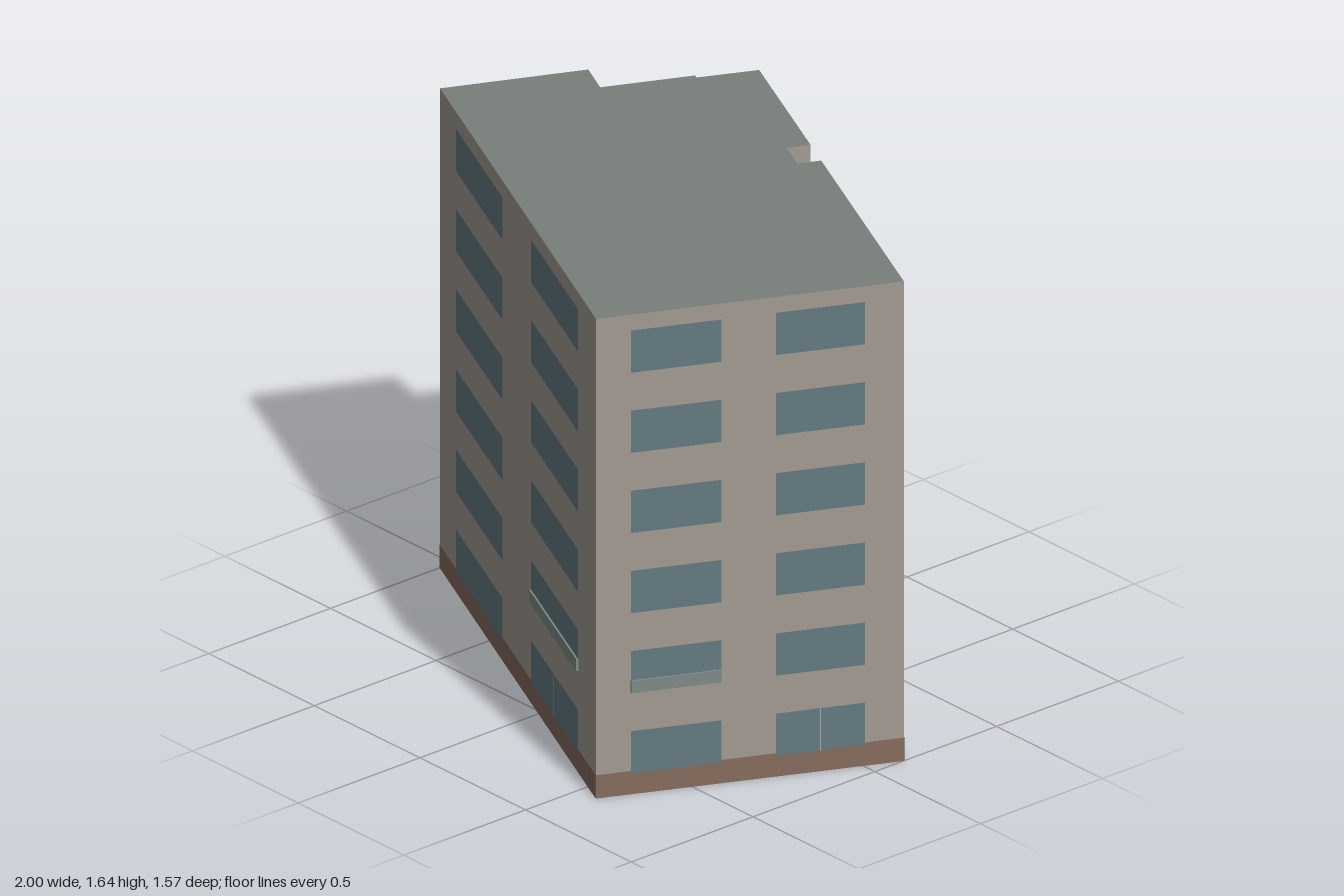
import * as THREE from 'three';

const HEIGHT = 1.645, FLOORS = 6, PITCH = 0.275, BASE = 0.08;
const SILL = 0.072, WINDOW_H = 0.145;

const paint = (color) => new THREE.MeshStandardMaterial({ color, side: THREE.DoubleSide });
const wallMat = paint(0xa39b92);
const roofMat = paint(0x78807c);
const glassMat = paint(0x627a82);
const baseMat = paint(0x866b5d);
const panelMat = paint(0x7e8b87);
const barMat = paint(0xa9b1b0);

// Footprint corners (x, z), going round with the outside on the local +z of each wall.
// cols: window spans as fractions of the wall; bars: whether a window has a centre bar.
const ends = [[0.22, 0.77]];
const always = () => true;
const walls = [
  { name: 'frontWall', from: [-1, 0.05], base: true, cols: [[0.108, 0.408], [0.589, 0.889]],
    bars: (f, c) => f === 0 && c === 1, balcony: 1 },
  { name: 'rightWall', from: [0.58, 0.78], base: true, cols: [[0.112, 0.406], [0.583, 0.873]],
    bars: (f, c) => f === 0 && c === 1, balcony: 0 },
  { name: 'backWall', from: [1, -0.12], base: true, cols: [[0.125, 0.4], [0.585, 0.865]],
    bars: (f, c) => f < 3 && (c === 1 || f === 1) },
  { name: 'notchSideRight', from: [0.17, -0.5] },
  { name: 'notchBack', from: [0.138, -0.43], base: true, cols: [[0.2, 0.8]], bars: always },
  { name: 'notchSideLeft', from: [0.03, -0.48] },
  { name: 'backWingWall', from: [0.062, -0.55], base: true, cols: ends, bars: always },
  { name: 'leftWingWall', from: [-0.452, -0.785], base: true, cols: ends, bars: always },
  { name: 'smallStep', from: [-0.538, -0.602] },
  { name: 'leftMiddleWall', from: [-0.552, -0.609], base: true, cols: ends, bars: always },
  { name: 'recessWall', from: [-0.68, -0.33], base: true, cols: ends, bars: always },
  { name: 'leftEndWall', from: [-0.802, -0.387], base: true, cols: ends, bars: always },
];

// Flat rectangle in a wall's own frame: x along the wall, y up, z outwards.
function panel(parent, name, mat, x0, x1, y0, y1, z) {
  const mesh = new THREE.Mesh(new THREE.PlaneGeometry(x1 - x0, y1 - y0), mat);
  mesh.position.set((x0 + x1) / 2, (y0 + y1) / 2, z);
  mesh.name = name;
  parent.add(mesh);
}

function buildWall(spec, to) {
  const [x, z] = spec.from;
  const dx = to[0] - x, dz = to[1] - z, length = Math.hypot(dx, dz);
  const wall = new THREE.Group();
  wall.name = spec.name;
  wall.position.set(x, 0, z);
  wall.rotation.y = -Math.atan2(dz, dx);
  panel(wall, 'wallSurface', wallMat, 0, length, 0, HEIGHT, 0);
  if (spec.base) panel(wall, 'plinth', baseMat, 0, length, 0, BASE, 0.0015);

  (spec.cols || []).forEach(([a, b], col) => {
    const x0 = a * length, x1 = b * length, mid = (x0 + x1) / 2;
    for (let floor = 0; floor < FLOORS; floor++) {
      const y0 = SILL + floor * PITCH;
      panel(wall, 'window', glassMat, x0, x1, y0, y0 + WINDOW_H, 0.003);
      if (spec.bars(floor, col)) {
        panel(wall, 'windowBar', barMat, mid - 0.002, mid + 0.002, y0, y0 + WINDOW_H, 0.0045);
      }
    }
    // Shallow balcony front on the first floor
    if (spec.balcony === col) {
      const rail = new THREE.Mesh(new THREE.BoxGeometry(x1 - x0, 0.042, 0.008), panelMat);
      rail.position.set(mid, 0.371, 0.005);
      rail.name = 'balconyPanel';
      wall.add(rail);
    }
  });
  return wall;
}

export function createModel() {
  const building = new THREE.Group();
  building.name = 'apartmentBlock';

  // Walls, open underneath
  walls.forEach((spec, i) => building.add(buildWall(spec, walls[(i + 1) % walls.length].from)));

  // Flat roof
  const outline = new THREE.Shape(walls.map(({ from: [x, z] }) => new THREE.Vector2(x, -z)));
  const roof = new THREE.Mesh(new THREE.ShapeGeometry(outline).rotateX(-Math.PI / 2), roofMat);
  roof.position.y = HEIGHT;
  roof.name = 'roof';
  building.add(roof);

  return building;
}
